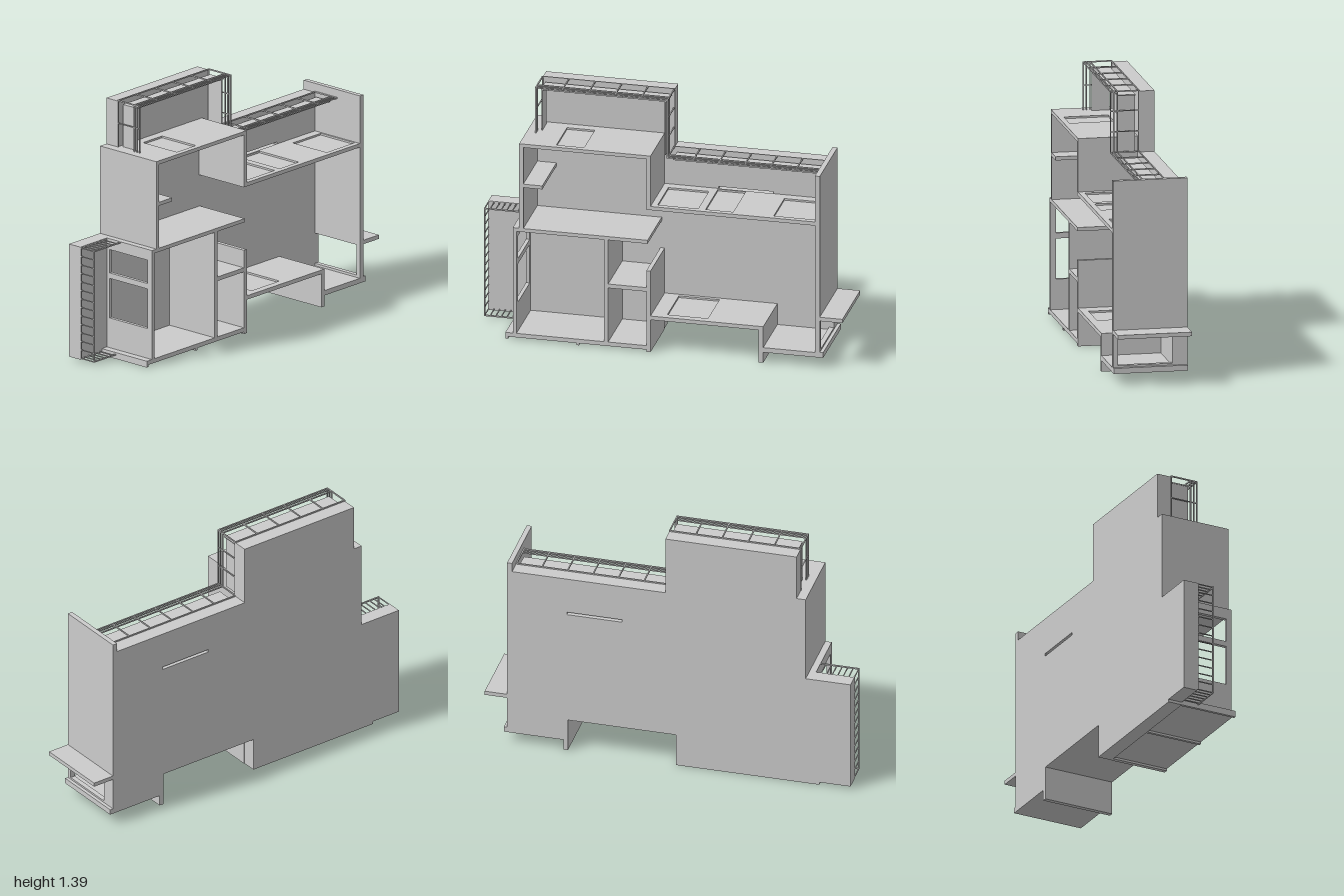
import * as THREE from 'three';

const material = new THREE.MeshStandardMaterial({ color: 0xcccccc, flatShading: true });
const BACK = -0.2, FRONT = 0.2, WALL = -0.12; // WALL is the inner face of the back wall

export function createModel() {
  const model = new THREE.Group();
  let target = model;

  function add(name, geometry) {
    const mesh = new THREE.Mesh(geometry, material);
    mesh.name = name;
    target.add(mesh);
    return mesh;
  }
  // Box given by its limits on each axis
  function box(name, x0, x1, y0, y1, z0 = WALL, z1 = FRONT) {
    const g = new THREE.BoxGeometry(x1 - x0, y1 - y0, z1 - z0);
    g.translate((x0 + x1) / 2, (y0 + y1) / 2, (z0 + z1) / 2);
    return add(name, g);
  }
  function group(name) {
    target = new THREE.Group();
    target.name = name;
    model.add(target);
  }
  const polygon = (pts) => pts.map(([x, y]) => new THREE.Vector2(x, y));
  const rect = (a, b, c, d) => polygon([[a, c], [b, c], [b, d], [a, d]]);

  // Extruded outline with rectangular holes
  function panel(name, outline, holes, depth) {
    const shape = new THREE.Shape(outline);
    holes.forEach((h) => shape.holes.push(new THREE.Path(rect(...h))));
    return add(name, new THREE.ExtrudeGeometry(shape, { depth, bevelEnabled: false }));
  }
  // Floor with shallow hatch recesses, each given as [x0, x1, z0, z1]
  function hatchFloor(name, x0, x1, y0, y1, hatches) {
    const lip = 0.01;
    box(name, x0, x1, y0, y1 - lip);
    const top = panel(name + 'Surface', rect(x0, x1, -FRONT, -WALL),
      hatches.map(([a, b, c, d]) => [a, b, -d, -c]), lip);
    top.rotation.x = -Math.PI / 2;
    top.position.y = y1 - lip;
  }
  // Upright side wall with windows, each given as [z0, z1, y0, y1]
  function sideWall(name, x0, x1, y0, y1, z0, windows) {
    const wall = panel(name, rect(-FRONT, -z0, y0, y1),
      windows.map(([a, b, c, d]) => [-b, -a, c, d]), x1 - x0);
    wall.rotation.y = Math.PI / 2;
    wall.position.x = x0;
  }

  // Stepped back wall with a narrow slot above the right roof
  const back = panel('backWall', polygon([
    [-1, 0.015], [-0.83, 0.015], [-0.83, 0], [-0.045, 0], [-0.045, 0.185], [0.545, 0.185],
    [0.545, 0], [0.57, 0], [0.57, 0.06], [0.875, 0.06], [0.875, 1.05], [0.012, 1.05],
    [0.012, 1.38], [-0.705, 1.38], [-0.705, 1.125], [-0.755, 1.125], [-0.755, 0.64], [-1, 0.64],
  ]), [[0.25, 0.55, 0.832, 0.847]], WALL - BACK);
  back.position.z = BACK;

  // Lower left rooms
  group('lowerRooms');
  box('groundFloor', -0.83, -0.045, 0.012, 0.035);
  for (const x of [-0.83, -0.445, -0.06]) box('floorRib', x, x + 0.015, 0, 0.013);
  sideWall('leftWall', -0.79, -0.77, 0.035, 0.62, WALL,
    [[-0.1, 0.17, 0.2, 0.42], [-0.1, 0.17, 0.45, 0.58]]);
  box('partition', -0.295, -0.272, 0.035, 0.62);
  box('roomShelf', -0.272, -0.065, 0.345, 0.368);
  box('centreWall', -0.065, -0.042, 0, 0.465);
  box('middleFloor', -0.79, -0.058, 0.62, 0.64);

  // Upper left room
  group('upperRoom');
  box('upperLeftWall', -0.755, -0.733, 0.64, 1.105);
  box('wallShelf', -0.733, -0.63, 0.875, 0.895);
  box('upperRightWall', -0.065, -0.042, 0.815, 1.105);
  hatchFloor('upperRoof', -0.755, -0.042, 1.105, 1.125, [[-0.56, -0.41, -0.07, 0.17]]);

  // Tall right room with a step down at its end
  group('rightRoom');
  hatchFloor('raisedFloor', -0.042, 0.57, 0.185, 0.207, [[0.04, 0.26, -0.1, 0.16]]);
  box('stepWall', 0.545, 0.57, 0, 0.19);
  box('lowFloor', 0.57, 0.85, 0.06, 0.087);
  hatchFloor('rightRoof', -0.042, 0.85, 0.815, 0.836,
    [[-0.01, 0.21, -0.07, 0.17], [0.25, 0.4, -0.11, 0.17], [0.62, 0.84, -0.07, 0.17]]);
  sideWall('rightWall', 0.85, 0.877, 0.06, 1.1, BACK, [[WALL, 0.175, 0.1, 0.268]]);
  box('baseLip', 0.877, 0.895, 0.06, 0.09, BACK);
  box('outerLedge', 0.877, 1, 0.27, 0.292, BACK);

  // Barred cage on the left side
  const bar = 0.007;
  group('sideLadder');
  for (const y of [0.02, 0.633]) {
    box('ladderFrontRail', -1, -0.79, y, y + bar, -0.027, -0.02);
    for (let i = 1; i < 7; i++) {
      const x = -1 + i * 0.03;
      box('ladderCrossBar', x, x + 0.005, y, y + 0.005, WALL, -0.02);
    }
  }
  for (const z of [WALL, -0.027]) box('ladderPost', -1, -1 + bar, 0.02, 0.64, z, z + bar);
  for (let i = 0; i < 14; i++) {
    const y = 0.02 + i * 0.0472;
    box('ladderRung', -1, -0.995, y, y + 0.005, WALL, -0.02);
  }

  // Railed canopy strips: double front rails, cross bars and an inset panel
  function canopyTop(x0, x1, y, bars) {
    for (const z of [-0.004, 0.016, 0.033]) box('canopyRail', x0, x1, y - bar, y, z, z + 0.006);
    box('canopyBackRail', x0, x1, y - bar, y, WALL, WALL + 0.006);
    for (let i = 0; i <= bars; i++) {
      const x = x0 + (x1 - x0 - 0.006) * i / bars;
      box('canopyBar', x, x + 0.006, y - bar, y, WALL, 0.039);
    }
    box('canopyPanel', x0 + 0.022, x1 - 0.012, y - 0.032, y - 0.026, -0.1, -0.004);
  }
  function canopySide(x, panelX, y0, y1, bars) {
    for (const z of [WALL, -0.004, 0.016, 0.033]) box('canopyPost', x, x + bar, y0, y1, z, z + 0.006);
    for (let i = 1; i <= bars; i++) {
      const y = y0 + (y1 - y0) * i / (bars + 1);
      box('canopySideBar', x, x + 0.006, y, y + 0.005, WALL, 0.039);
    }
    box('canopySidePanel', panelX, panelX + 0.006, y0, y1 - 0.027, -0.1, -0.004);
  }
  group('canopy');
  canopyTop(-0.708, 0.014, 1.387, 5);
  canopyTop(0.008, 0.85, 1.057, 6);
  canopySide(-0.708, -0.684, 1.125, 1.387, 1);
  canopySide(0.007, -0.015, 1.05, 1.387, 2);

  return model;
}
